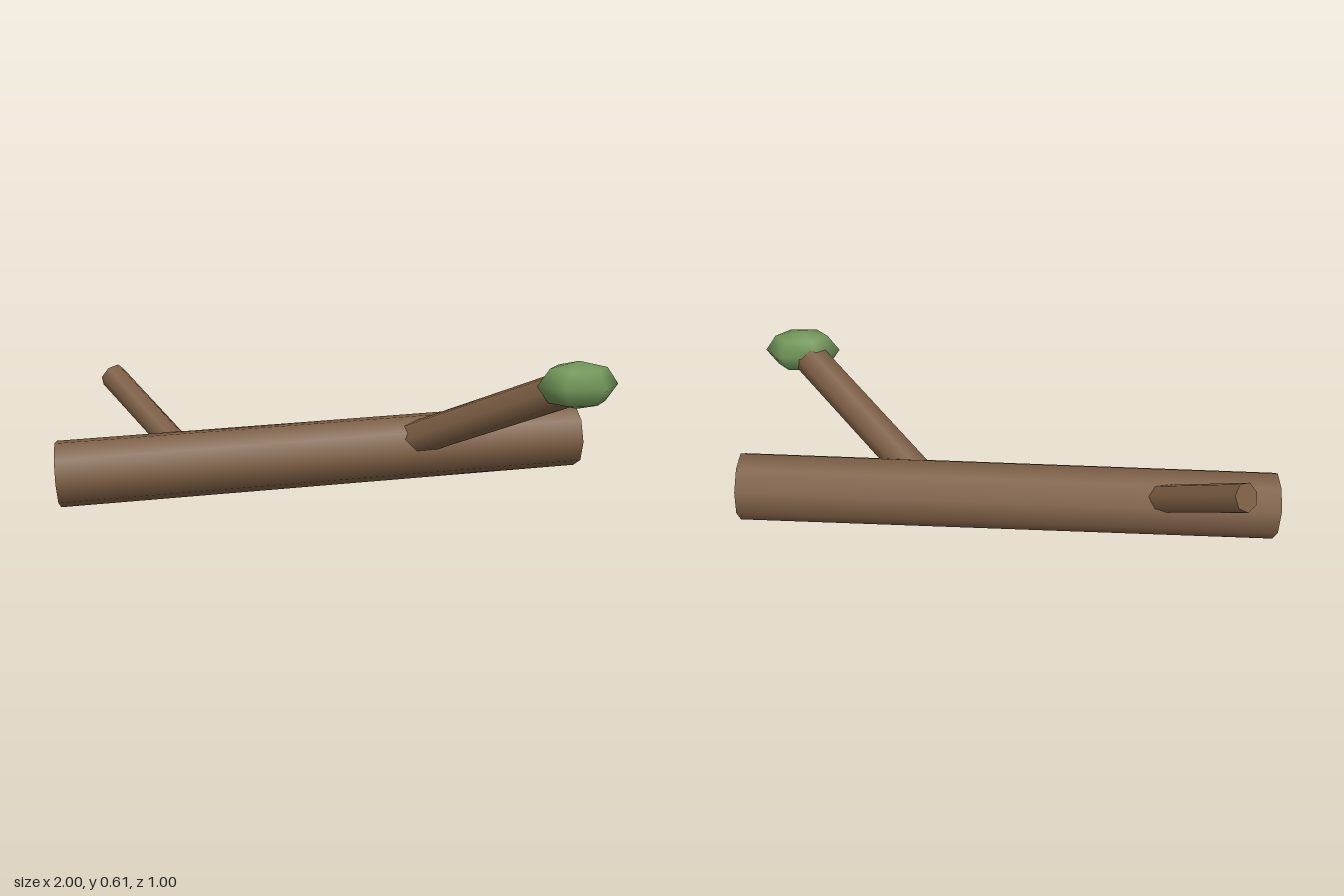
import * as THREE from 'three';

const UP = new THREE.Vector3(0, 1, 0);

// Straight round limb between two points
function limb(name, from, to, radius, sides, material) {
  const a = new THREE.Vector3(...from);
  const b = new THREE.Vector3(...to);
  const dir = b.clone().sub(a);
  const mesh = new THREE.Mesh(
    new THREE.CylinderGeometry(radius, radius, dir.length(), sides),
    material
  );
  mesh.name = name;
  mesh.position.copy(a).add(b).multiplyScalar(0.5);
  mesh.quaternion.setFromUnitVectors(UP, dir.normalize());
  return mesh;
}

export function createModel() {
  const bark = new THREE.MeshStandardMaterial({ color: 0x7a5c42 });
  bark.name = 'bark brown';
  const leaf = new THREE.MeshStandardMaterial({ color: 0x6f9457 });
  leaf.name = 'leaf green';

  const group = new THREE.Group();
  group.name = 'fallenLog';

  // Log lying along x, slightly raised at its left end
  group.add(limb('trunk', [-0.995, 0.127, -0.081], [0.995, 0.205, -0.081], 0.127, 9, bark));

  // Two side branches growing from the core of the log
  group.add(limb('frontBranch', [0.285, 0.187, -0.081], [0.79, 0.512, 0.388], 0.067, 7, bark));
  group.add(limb('backBranch', [-0.498, 0.153, -0.081], [-0.797, 0.409, -0.463], 0.052, 7, bark));

  // Leaf tuft on the front branch
  const tuft = new THREE.Mesh(new THREE.SphereGeometry(1, 6, 4), leaf);
  tuft.name = 'leafTuft';
  tuft.scale.set(0.145, 0.085, 0.098);
  tuft.position.set(0.818, 0.528, 0.412);
  group.add(tuft);

  return group;
}
